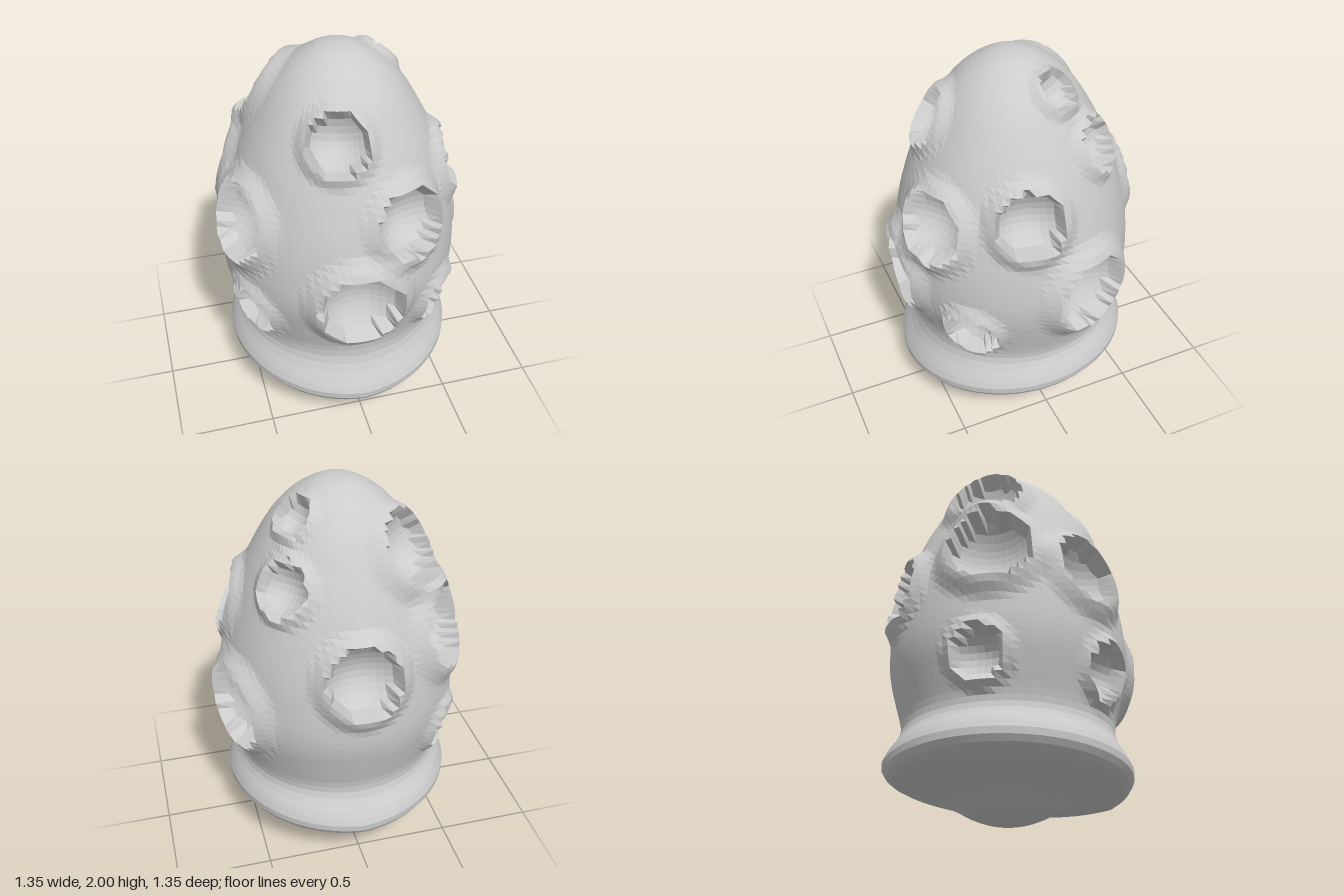
import * as THREE from 'three';

// Egg outline from the underside, round the lip, up to the tip: [radius, height]
const OUTLINE = [[0, 0], [0.1, 0.01], [0.2, 0.045], [0.3, 0.1], [0.4, 0.142], [0.5, 0.165], [0.57, 0.195],
  [0.61, 0.235], [0.618, 0.28], [0.593, 0.335], [0.562, 0.39], [0.548, 0.44], [0.558, 0.51], [0.588, 0.62],
  [0.62, 0.75], [0.63, 0.87], [0.62, 1.02], [0.595, 1.17], [0.555, 1.32], [0.5, 1.48], [0.43, 1.63],
  [0.335, 1.79], [0.235, 1.9], [0.13, 1.97], [0.06, 1.994], [0, 2]];

// Craters: [x, z, height, radius]; x and z give the bearing only
const CRATERS = [
  [-0.1, 0.4, 1.67, 0.145], [0.225, 0.5, 1.25, 0.18], [-0.03, 0.6, 0.83, 0.21],
  [0.45, 0.43, 0.66, 0.135], [-0.53, 0.3, 0.67, 0.135], [-0.57, 0.2, 1.18, 0.195],
  [0.53, 0.13, 1.34, 0.165], [0.61, -0.2, 0.86, 0.215], [0.37, -0.34, 1.57, 0.13],
  [0.23, -0.12, 1.86, 0.1], [-0.33, -0.29, 1.69, 0.19], [-0.46, -0.3, 1.26, 0.215],
  [0.01, -0.6, 1.16, 0.185], [-0.47, -0.36, 0.68, 0.13],
];

const smooth = THREE.MathUtils.smoothstep;

export function createModel() {
  const curve = new THREE.SplineCurve(OUTLINE.map(([r, y]) => new THREE.Vector2(r, y)));
  const profile = curve.getSpacedPoints(76);
  profile.forEach((p) => { p.x = Math.max(0, p.x); });
  profile[0].set(0, 0);
  profile[76].set(0, 2);

  // Centre and outward axis of each crater on the plain egg
  const craters = CRATERS.map(([x, z, y, radius]) => {
    let i = profile.length - 2;
    while (profile[i].y > y) i--;
    const a = profile[i], b = profile[i + 1];
    const r = THREE.MathUtils.mapLinear(y, a.y, b.y, a.x, b.x);
    const bearing = Math.atan2(x, z);
    const turn = (u, v) => new THREE.Vector3(Math.sin(bearing) * u, v, Math.cos(bearing) * u);
    return { centre: turn(r, y), axis: turn(b.y - a.y, a.x - b.x).normalize(), radius };
  });

  const geometry = new THREE.LatheGeometry(profile, 100);
  const pos = geometry.attributes.position;
  const p = new THREE.Vector3(), q = new THREE.Vector3(), move = new THREE.Vector3();
  for (let i = 0; i < pos.count; i++) {
    p.fromBufferAttribute(pos, i);
    move.set(0, 0, 0);

    // Lip round the base, dipping to a soft point at front and back
    const angle = Math.atan2(p.x, p.z);
    const lip = smooth(Math.hypot(p.x, p.z), 0.36, 0.6) * (1 - smooth(p.y, 0.32, 0.52));
    move.y += lip * (0.012 - 0.025 * Math.cos(angle) - 0.045 * (1 - Math.abs(Math.sin(angle))));
    move.z += lip * 0.025 * Math.cos(angle);

    // Round bowls with a raised rim
    for (const { centre, axis, radius } of craters) {
      q.copy(p).sub(centre);
      if (q.dot(axis) < -0.3) continue;
      const t = q.length() / radius;
      if (t > 1.55) continue;
      const rim = 0.22 * radius + 0.01;
      const push = t < 0.98
        ? -radius * (0.1 + 0.62 * (1 - t * t))
        : rim * (1 - smooth(t, 1.05, 1.55));
      move.addScaledVector(axis, push);
    }
    p.add(move);
    pos.setXYZ(i, p.x, p.y, p.z);
  }
  geometry.computeVertexNormals();

  const shell = new THREE.Mesh(geometry, new THREE.MeshStandardMaterial({
    color: 0xcccccc, flatShading: true, side: THREE.DoubleSide,
  }));
  shell.name = 'crateredEgg';
  const group = new THREE.Group();
  group.name = 'egg';
  group.add(shell);
  return group;
}
